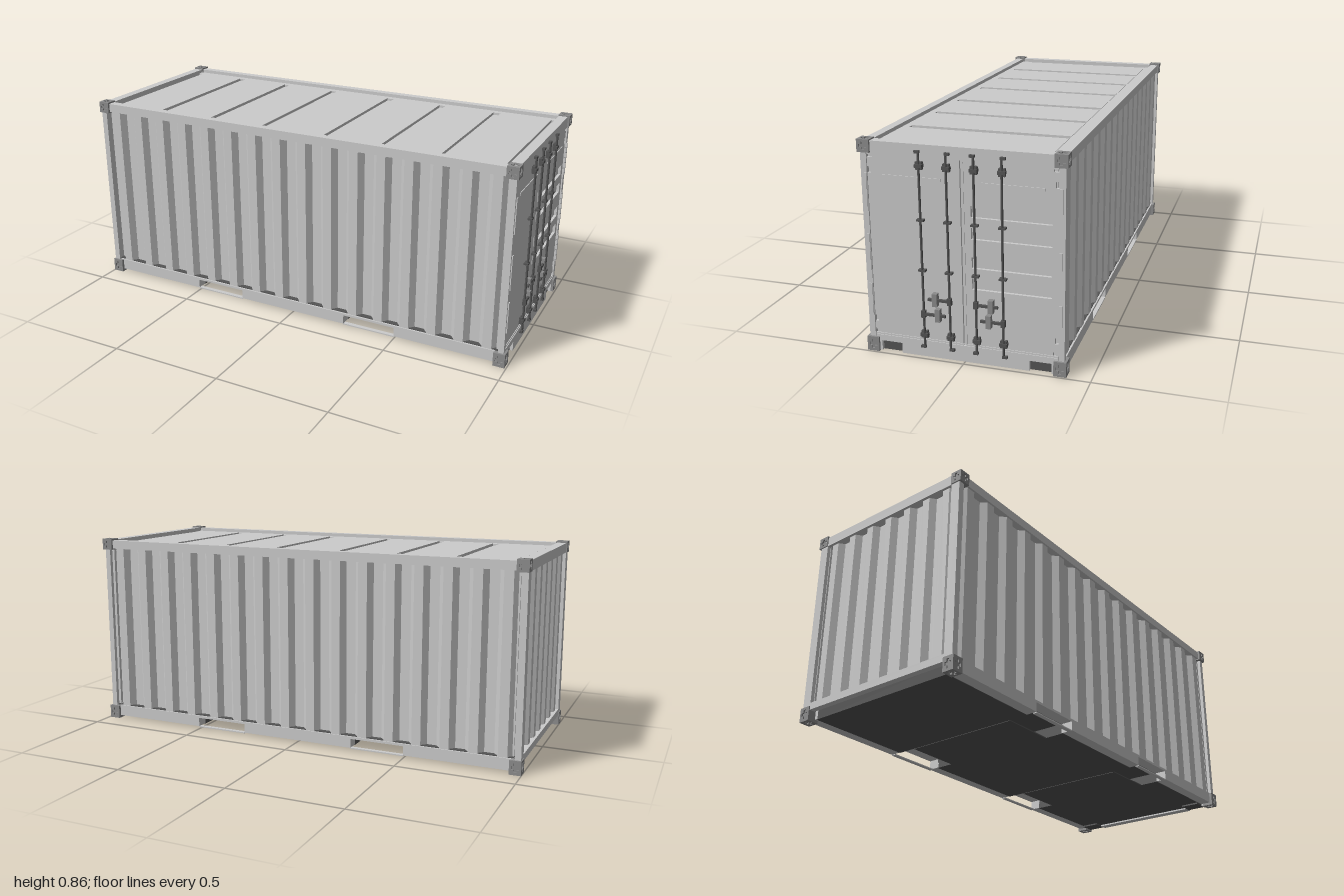
import * as THREE from 'three';

const mat = (color) => new THREE.MeshStandardMaterial({ color, flatShading: true });

export function createModel() {
  const model = new THREE.Group();
  const grey = mat(0xcccccc), steel = mat(0x8c8c8c), dark = mat(0x555555);
  const H = 0.86, W = 0.405, X0 = -1, X1 = 0.99;

  function add(name, geo, material = grey) {
    const mesh = new THREE.Mesh(geo, material);
    mesh.name = name;
    model.add(mesh);
    return mesh;
  }
  // Box from its limits on each axis
  function box(name, x0, x1, y0, y1, z0, z1, material) {
    const geo = new THREE.BoxGeometry(Math.abs(x1 - x0), y1 - y0, Math.abs(z1 - z0));
    geo.translate((x0 + x1) / 2, (y0 + y1) / 2, (z0 + z1) / 2);
    return add(name, geo, material);
  }
  const path = (points, Type = THREE.Shape) => new Type(points.map(([x, y]) => new THREE.Vector2(x, y)));
  const rect = (a, b, c, d) => [[a, c], [b, c], [b, d], [a, d]];
  const sides = [1, -1];

  // Corrugated walls: a trapezoid wave in plan, extruded upward
  function corrugated(name, length, periods, outer, turn, offset) {
    const half = length / 2, p = length / periods, depth = 0.024;
    const pts = [[half, outer - depth - 0.012], [-half, outer - depth - 0.012]];
    for (let i = 0; i < periods; i++) {
      const s = -half + i * p;
      pts.push([s, outer - depth], [s + p * 0.17, outer - depth], [s + p * 0.34, outer],
        [s + p * 0.66, outer], [s + p * 0.83, outer - depth]);
    }
    pts.push([half, outer - depth]);
    const geo = new THREE.ExtrudeGeometry(path(pts), { depth: 0.765, bevelEnabled: false });
    geo.rotateX(-Math.PI / 2).rotateY(turn).translate(offset, 0.055, 0);
    add(name, geo);
  }
  const mid = (X0 + X1) / 2;
  corrugated('backWall', 1.95, 16, 0.388, 0, mid);
  corrugated('frontWall', 1.95, 16, 0.388, Math.PI, mid);
  corrugated('endWall', 0.74, 7, 0.985, Math.PI / 2, 0);

  // Corner castings: a core with cross-pierced plates on the three outer faces
  function castings() {
    const s = 0.05, t = 0.006, a = 0.006, b = 0.016;
    const plate = path(rect(-s / 2, s / 2, -s / 2, s / 2));
    plate.holes.push(path([[-a, -b], [a, -b], [a, -a], [b, -a], [b, a], [a, a], [a, b],
      [-a, b], [-a, a], [-b, a], [-b, -a], [-a, -a]], THREE.Path));
    const geo = new THREE.ExtrudeGeometry(plate, { depth: t, bevelEnabled: false });
    geo.translate(0, 0, s / 2 - t);
    for (const sx of sides) for (const sy of sides) for (const sz of sides) {
      const h = sy > 0 ? s : 0.06;
      const g = new THREE.Group();
      g.name = 'cornerCasting';
      const part = (geometry) => { const m = new THREE.Mesh(geometry, steel); g.add(m); return m; };
      part(new THREE.BoxGeometry(s - 2 * t, s - 2 * t, s - 2 * t));
      // inner faces stay closed
      part(new THREE.BoxGeometry(t, s, s)).position.x = -sx * (s - t) / 2;
      part(new THREE.BoxGeometry(s, t, s)).position.y = -sy * (s - t) / 2;
      part(new THREE.BoxGeometry(s, s, t)).position.z = -sz * (s - t) / 2;
      part(geo).rotation.y = sx * Math.PI / 2;
      part(geo).rotation.x = -sy * Math.PI / 2;
      part(geo).rotation.y = sz > 0 ? 0 : Math.PI;
      g.scale.y = h / s;
      g.position.set(sx > 0 ? X1 + 0.003 - s / 2 : X0 + s / 2, sy > 0 ? H - h / 2 : h / 2, sz * (W - s / 2));
      model.add(g);
    }
  }
  castings();

  // Frame: posts, top rails and end beams
  for (const s of sides) {
    box('endPost', X0 + 0.004, X0 + 0.03, 0.05, 0.82, s * 0.355, s * 0.396);
    box('doorPost', X1 - 0.03, X1 - 0.006, 0.05, 0.82, s * 0.372, s * 0.396);
    box('topRail', X0 + 0.02, X1 - 0.02, 0.815, 0.853, s * 0.36, s * 0.396);
    box('roofEdge', X0 + 0.02, X1 - 0.02, 0.815, 0.838, s * 0.33, s * 0.36);
  }
  box('endTopBeam', X0 + 0.004, X0 + 0.045, 0.81, 0.853, -0.37, 0.37);
  box('doorHeader', X1 - 0.045, X1 - 0.006, 0.806, 0.855, -0.37, 0.37);
  box('endSill', X0 + 0.004, X0 + 0.03, 0.045, 0.075, -0.37, 0.37);

  // Roof: sunken sheet with seven raised panels
  box('roofSheet', X0 + 0.02, X1 - 0.02, 0.81, 0.828, -0.36, 0.36);
  const panels = [[-0.93, -0.7], [-0.665, -0.435], [-0.405, -0.17], [-0.14, 0.13],
    [0.165, 0.395], [0.425, 0.655], [0.69, 0.92]];
  for (const [a, b] of panels) box('roofPanel', a, b, 0.82, 0.84, -0.33, 0.33);

  // Underframe: three dark blocks with two fork tunnels between them
  box('floor', X0 + 0.02, X1 - 0.02, 0.053, 0.066, -0.385, 0.385, dark);
  for (const [a, b] of [[-0.965, -0.5], [-0.26, 0.26], [0.5, 0.945]]) {
    box('underframe', a, b, 0.01, 0.055, -0.345, 0.345, dark);
    for (const s of sides) box('bottomRail', a, b, 0.012, 0.062, s * 0.34, s * 0.393);
  }
  for (const x of [-0.5, 0.26]) {
    box('forkTunnelFloor', x, x + 0.24, 0.008, 0.013, -0.26, 0.26, dark);
    for (const s of sides) {
      box('forkPocketStrap', x, x + 0.24, 0.008, 0.013, s * 0.375, s * 0.393);
      box('forkPocketLintel', x, x + 0.24, 0.052, 0.062, s * 0.34, s * 0.393);
    }
  }

  // Door sill with two notches above dark runner ends
  box('doorSill', X1 - 0.045, X1 - 0.006, 0.045, 0.07, -0.37, 0.37);
  box('doorSillCentre', X1 - 0.045, X1 - 0.006, 0.003, 0.046, -0.26, 0.26);
  for (const s of sides) {
    box('doorSillEnd', X1 - 0.045, X1 - 0.006, 0.003, 0.046, s * 0.345, s * 0.36);
    box('runnerEnd', 0.9, X1 - 0.02, 0.003, 0.046, s * 0.26, s * 0.345, dark);
  }

  // Doors: leaf with recessed slots over a backing sheet, hinges, lock rods and handles
  const slots = [[0.59, 0.635], [0.505, 0.55], [0.39, 0.435], [0.305, 0.35]];
  const face = 0.978;
  box('doorBacking', face - 0.03, face - 0.012, 0.06, 0.815, -0.38, 0.38);
  for (const s of sides) {
    const leaf = path([[0.006, 0.073], [0.35, 0.073], [0.35, 0.09], [0.372, 0.09], [0.372, 0.125],
      [0.358, 0.125], [0.358, 0.15], [0.372, 0.15], [0.372, 0.73], [0.358, 0.73], [0.358, 0.755],
      [0.372, 0.755], [0.372, 0.79], [0.35, 0.79], [0.35, 0.802], [0.006, 0.802]].map(([z, y]) => [-s * z, y]));
    for (const [a, b] of slots) leaf.holes.push(path(rect(-s * 0.035, -s * 0.345, a, b), THREE.Path));
    const geo = new THREE.ExtrudeGeometry(leaf, { depth: 0.013, bevelEnabled: false });
    geo.rotateY(Math.PI / 2).translate(face - 0.013, 0, 0);
    add('doorLeaf', geo);

    box('doorTopStrip', face - 0.002, face + 0.003, 0.717, 0.728, s * 0.08, s * 0.32);
    box('doorGasketSide', face - 0.002, face + 0.003, 0.07, 0.806, s * 0.004, s * 0.01);
    for (const y of [0.068, 0.801]) box('doorGasket', face - 0.002, face + 0.003, y, y + 0.009, s * 0.004, s * 0.37);
    for (const [a, b] of [[0.15, 0.285], [0.34, 0.49], [0.58, 0.73]])
      box('doorHinge', face - 0.004, X1 - 0.002, a, b, s * 0.374, s * 0.386);

    for (const [z, dir] of [[0.16, 1], [0.053, -1]]) {
      const rod = new THREE.CylinderGeometry(0.005, 0.005, 0.785, 8);
      add('lockRod', rod, dark).position.set(0.991, 0.4375, s * z);
      for (const y of [0.044, 0.823])
        box('lockCam', X1 - 0.012, 0.996, y, y + 0.01, s * (z - dir * 0.005), s * (z + dir * 0.015), dark);
      for (const y of [0.1, 0.775]) {
        box('rodBracket', face - 0.002, 0.998, y - 0.006, y + 0.006, s * (z - 0.015), s * (z + 0.015), dark);
        for (const d of sides)
          box('rodBracketPad', face - 0.002, 0.992, y - 0.015, y + 0.015, s * (z + d * 0.004), s * (z + d * 0.013), dark);
      }
      for (const y of [0.365, 0.565])
        box('rodGuide', face - 0.002, 0.997, y - 0.004, y + 0.004, s * (z - 0.014), s * (z + 0.014), dark);
    }
    for (const [y, from, to, block] of [[0.25, 0.053, 0.14, 0.112], [0.187, 0.16, 0.07, 0.102]]) {
      box('doorHandle', 0.988, 0.998, y - 0.005, y + 0.005, s * from, s * to, dark);
      box('handleHub', 0.984, 1, y - 0.014, y + 0.014, s * (from - 0.008), s * (from + 0.008), dark);
      box('handleCatch', face - 0.002, 1, y - 0.026, y + 0.026, s * (block - 0.01), s * (block + 0.01), steel);
    }
  }
  return model;
}
